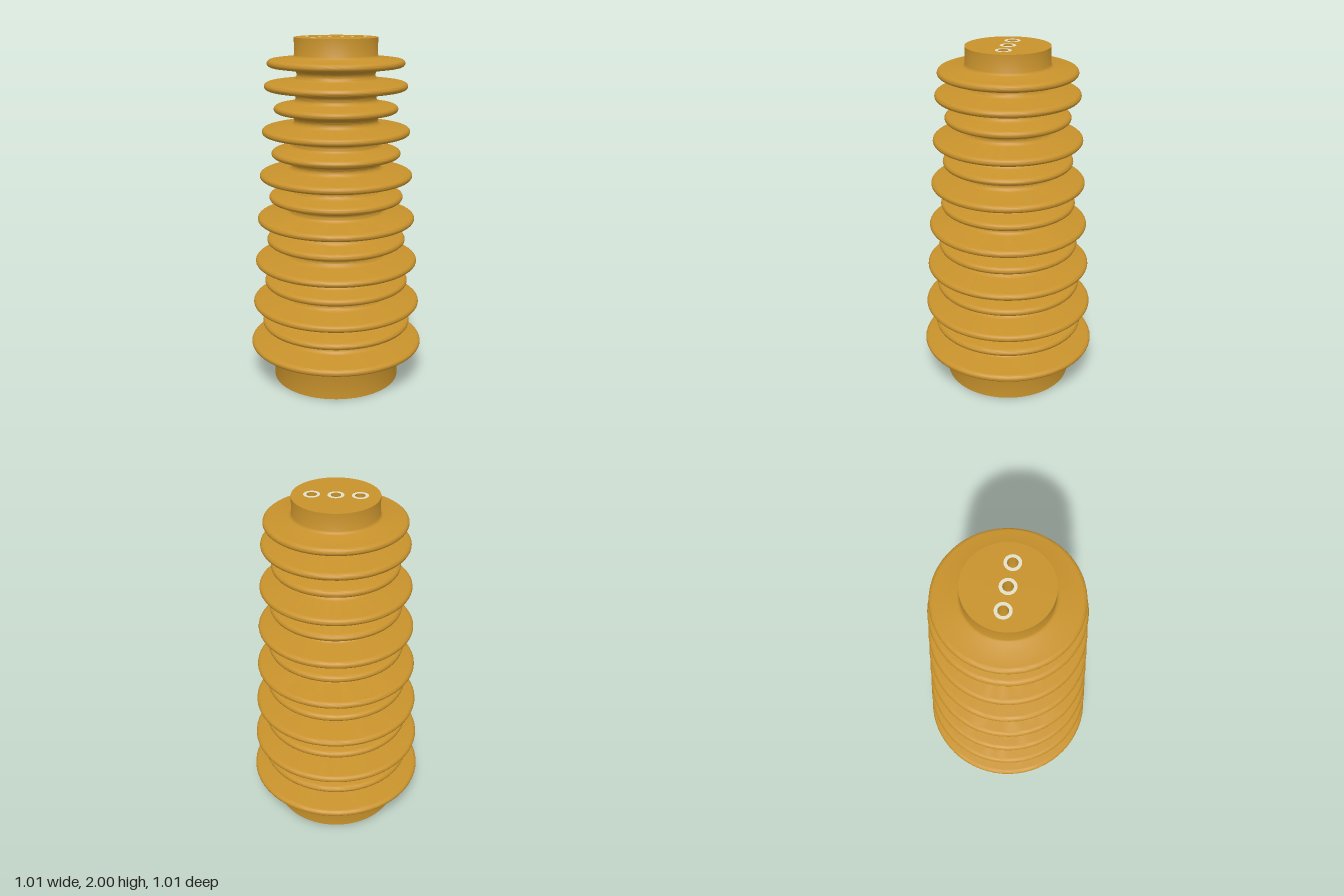
import * as THREE from 'three';
import { toCreasedNormals } from 'three/addons/utils/BufferGeometryUtils.js';

const SEGMENTS = 64;
const BASE_R = 0.37, TOP_R = 0.232, HEIGHT = 2;
const HOLE_R = 0.027, SLEEVE_R = 0.044;
const LOWER_HOLE_R = 0.05, LOWER_SLEEVE_R = 0.09;
const HOLE_X = [-0.125, 0, 0.125];
const SHEDS = 14, FIRST_Y = 0.22, PITCH = 1.64 / 13;

export function createModel() {
  const model = new THREE.Group();
  const brown = new THREE.MeshStandardMaterial({ color: 0xc8922c });
  const cream = new THREE.MeshStandardMaterial({ color: 0xe2dfc8 });

  const add = (name, geometry, material, x = 0) => {
    const mesh = new THREE.Mesh(geometry, material);
    mesh.name = name;
    mesh.position.x = x;
    model.add(mesh);
  };
  const lathe = (pairs, segments = SEGMENTS) => toCreasedNormals(
    new THREE.LatheGeometry(pairs.map(([r, y]) => new THREE.Vector2(r, y)), segments), 0.7);
  const disc = (r, holes) => {
    const shape = new THREE.Shape().absarc(0, 0, r, 0, Math.PI * 2);
    holes.forEach(([x, hr]) => shape.holes.push(new THREE.Path().absarc(x, 0, hr, 0, Math.PI * 2, true)));
    return new THREE.ShapeGeometry(shape, SEGMENTS / 2).rotateX(-Math.PI / 2);
  };

  // Ribbed body: alternating wide and narrow sheds on a tapered core
  const profile = [[LOWER_SLEEVE_R, 0], [BASE_R, 0], [BASE_R, 0.176], [BASE_R + 0.004, 0.184], [BASE_R + 0.012, 0.188]];
  const arc = (cx, cy, rx, ry, from, to, steps) => {
    for (let k = 0; k <= steps; k++) {
      const a = from + (to - from) * k / steps;
      profile.push([cx + rx * Math.cos(a), cy + ry * Math.sin(a)]);
    }
  };
  const neckR = 0.026;
  for (let i = 0; i < SHEDS; i++) {
    const y = FIRST_Y + i * PITCH;
    const last = i === SHEDS - 1;
    const tip = last ? 0.383 : (i % 2 ? 0.445 : 0.505) - i * 0.0087;
    arc(tip - 0.024, y, 0.024, 0.021, -Math.PI / 2, Math.PI / 2, 10);
    if (!last) {
      // Rounded neck up to the next shed
      const core = 0.318 - i * 0.0083;
      arc(core + neckR, y + PITCH / 2, neckR, neckR, Math.PI * 1.5, Math.PI / 2, 10);
    }
  }
  profile.push([TOP_R + 0.015, 1.892], [TOP_R + 0.005, 1.897], [TOP_R, 1.907], [TOP_R, HEIGHT]);
  add('ribbedBody', lathe(profile), brown);

  // Top face with its three bores
  const topFace = disc(TOP_R, HOLE_X.map(x => [x, SLEEVE_R]));
  topFace.translate(0, HEIGHT, 0);
  add('topFace', topFace, brown);
  HOLE_X.forEach((x, i) => {
    const ring = disc(SLEEVE_R, [[0, HOLE_R]]);
    ring.translate(0, HEIGHT, 0);
    add(`topSleeve${i + 1}`, ring, cream, x);
    const floor = i === 1
      ? [[HOLE_R, 1.85], [0, 1.85]]
      : [[HOLE_R, 1.86], [0.019, 1.847], [0, 1.84]];
    add(`topBore${i + 1}`, lathe([[HOLE_R, HEIGHT], ...floor], 32), brown, x);
  });

  // Single bore in the underside
  add('lowerSleeve', lathe([[LOWER_HOLE_R, 0], [LOWER_SLEEVE_R, 0]]), cream);
  add('lowerBore', lathe([[0, 0.15], [LOWER_HOLE_R, 0.15], [LOWER_HOLE_R, 0]], 32), brown);

  return model;
}
